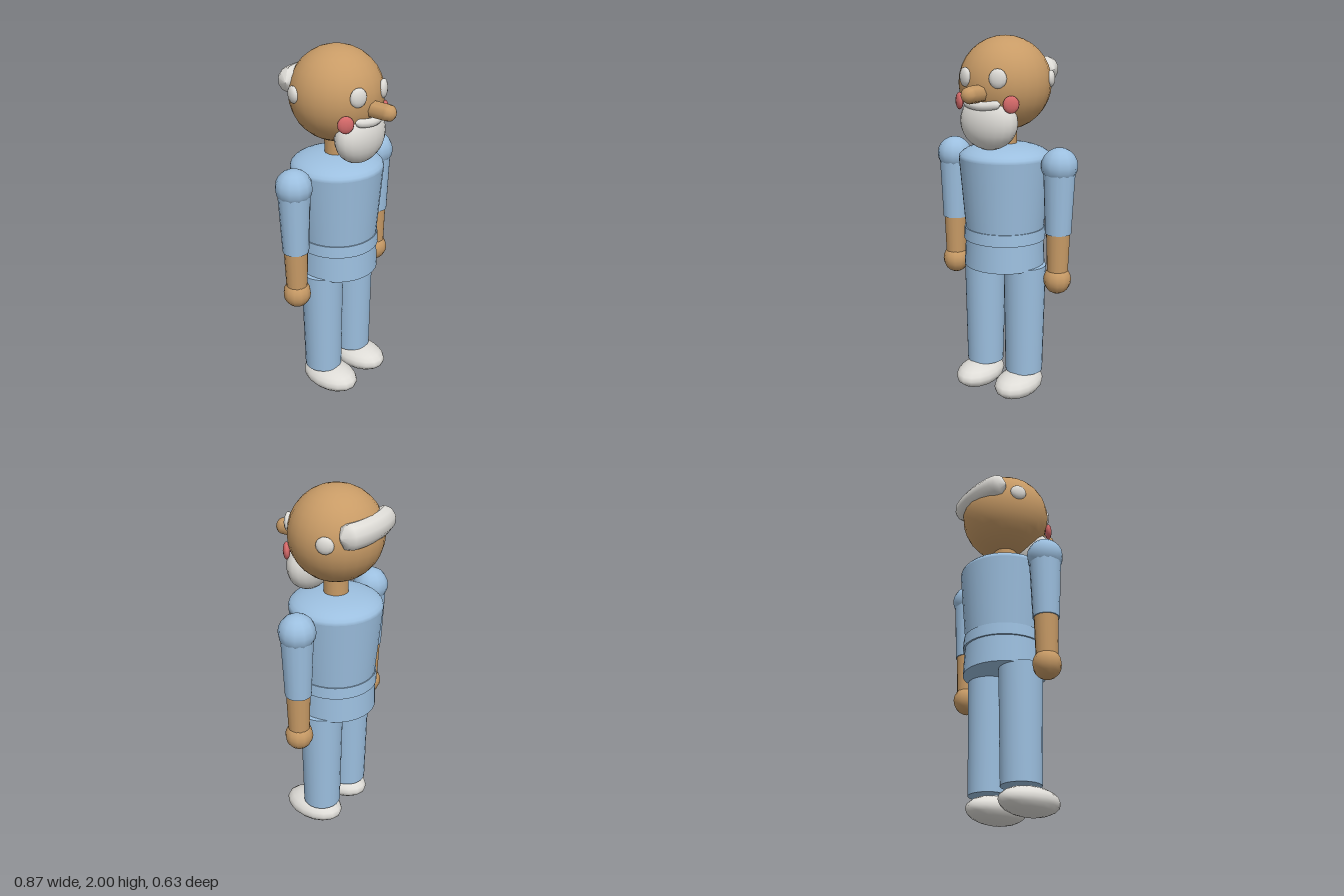
import * as THREE from 'three';

const mat = (name, color) => {
  const m = new THREE.MeshStandardMaterial({ color });
  m.name = name;
  return m;
};

const AXIS_Z = -0.055; // body axis

export function createModel() {
  const skin = mat('skin', 0xc89b66);
  const cloth = mat('blue cloth', 0x9cbfdf);
  const white = mat('off white', 0xdedcd7);
  const rosy = mat('rosy', 0xd66a6a);
  const model = new THREE.Group();
  model.name = 'oldMan';

  const add = (name, geometry, material, x = 0, y = 0, z = AXIS_Z) => {
    const mesh = new THREE.Mesh(geometry, material);
    mesh.name = name;
    mesh.position.set(x, y, z);
    model.add(mesh);
    return mesh;
  };
  // Ellipsoid with its three radii
  const ball = (name, material, x, y, z, rx, ry, rz, w = 16, h = 10) =>
    add(name, new THREE.SphereGeometry(1, w, h).scale(rx, ry, rz), material, x, y, z);
  // Upright tapered cylinder between two heights
  const column = (name, material, x, y0, y1, r0, r1, sides = 24) =>
    add(name, new THREE.CylinderGeometry(r1, r0, y1 - y0, sides), material, x, (y0 + y1) / 2);
  // Curved sausage whose ends round off
  const sausage = (name, material, points, radius, sy, round) => {
    const curve = new THREE.CatmullRomCurve3(points.map(p => new THREE.Vector3(...p)));
    const n = 16, sides = 10;
    const g = new THREE.TubeGeometry(curve, n, radius, sides);
    const pos = g.attributes.position, v = new THREE.Vector3();
    for (let i = 0; i < pos.count; i++) {
      const t = Math.floor(i / (sides + 1)) / n;
      const end = Math.max(0, 1 - Math.min(t, 1 - t) / round);
      const k = Math.sqrt(Math.max(0, 1 - end * end));
      const c = curve.getPointAt(t);
      v.fromBufferAttribute(pos, i).sub(c).multiplyScalar(k);
      pos.setXYZ(i, c.x + v.x, c.y + v.y * sy, c.z + v.z);
    }
    g.computeVertexNormals();
    return add(name, g, material, 0, 0, 0);
  };

  // Torso, shoulders, belt and hips
  column('torso', cloth, 0, 0.96, 1.36, 0.215, 0.25, 32);
  add('shoulderDome', new THREE.SphereGeometry(1, 32, 8, 0, Math.PI * 2, 0, Math.PI / 2)
    .scale(0.25, 0.08, 0.25), cloth, 0, 1.36);
  column('belt', cloth, 0, 0.91, 0.975, 0.226, 0.222, 32);
  column('hips', cloth, 0, 0.76, 0.91, 0.223, 0.216, 32);

  // Head and neck
  column('neck', skin, 0, 1.4, 1.56, 0.066, 0.066, 16);
  ball('head', skin, 0, 1.754, AXIS_Z, 0.247, 0.246, 0.247, 24, 16);

  // Nose with a rounded tip
  const nose = add('nose', new THREE.CapsuleGeometry(0.045, 0.13, 4, 8), skin, 0, 1.717, 0.205);
  nose.rotation.x = Math.PI / 2;

  // Beard, moustache and the hair at the back
  ball('beard', white, 0, 1.565, 0.1, 0.168, 0.147, 0.102, 20, 14);
  sausage('moustache', white, [
    [-0.11, 1.668, 0.155], [-0.055, 1.657, 0.176], [0, 1.653, 0.184],
    [0.055, 1.657, 0.176], [0.11, 1.668, 0.155],
  ], 0.023, 1, 0.15);
  sausage('backHair', white, [
    [-0.205, 1.82, -0.215], [-0.11, 1.82, -0.249], [0, 1.82, -0.26],
    [0.11, 1.82, -0.249], [0.205, 1.82, -0.215],
  ], 0.061, 1.1, 0.14);

  for (const s of [1, -1]) {
    const side = s > 0 ? 'left' : 'right';

    // Face discs turned to follow the head
    const disc = (name, material, x, y, z, rx, ry, rz) => {
      const m = ball(side + name, material, s * x, y, z, rx, ry, rz, 12, 8);
      m.rotation.y = Math.atan2(s * x, z - AXIS_Z);
    };
    disc('Eye', white, 0.1, 1.795, 0.166, 0.046, 0.05, 0.022);
    disc('Cheek', rosy, 0.16, 1.667, 0.136, 0.042, 0.045, 0.019);
    disc('HairTuft', white, 0.227, 1.78, -0.145, 0.046, 0.044, 0.022);

    // Arm
    const ax = s * 0.338;
    ball(side + 'Shoulder', cloth, ax, 1.343, AXIS_Z, 0.097, 0.097, 0.097, 12, 10);
    column(side + 'Sleeve', cloth, ax, 0.98, 1.345, 0.07, 0.086, 16);
    column(side + 'Forearm', skin, ax, 0.75, 0.985, 0.056, 0.064, 16);
    ball(side + 'Hand', skin, ax, 0.722, AXIS_Z, 0.075, 0.08, 0.075, 12, 10);

    // Leg and shoe
    column(side + 'Leg', cloth, s * 0.132, 0.145, 0.77, 0.105, 0.117, 24);
    ball(side + 'Shoe', white, s * 0.132, 0.078, -0.002, 0.118, 0.074, 0.178, 16, 10);
  }
  return model;
}
